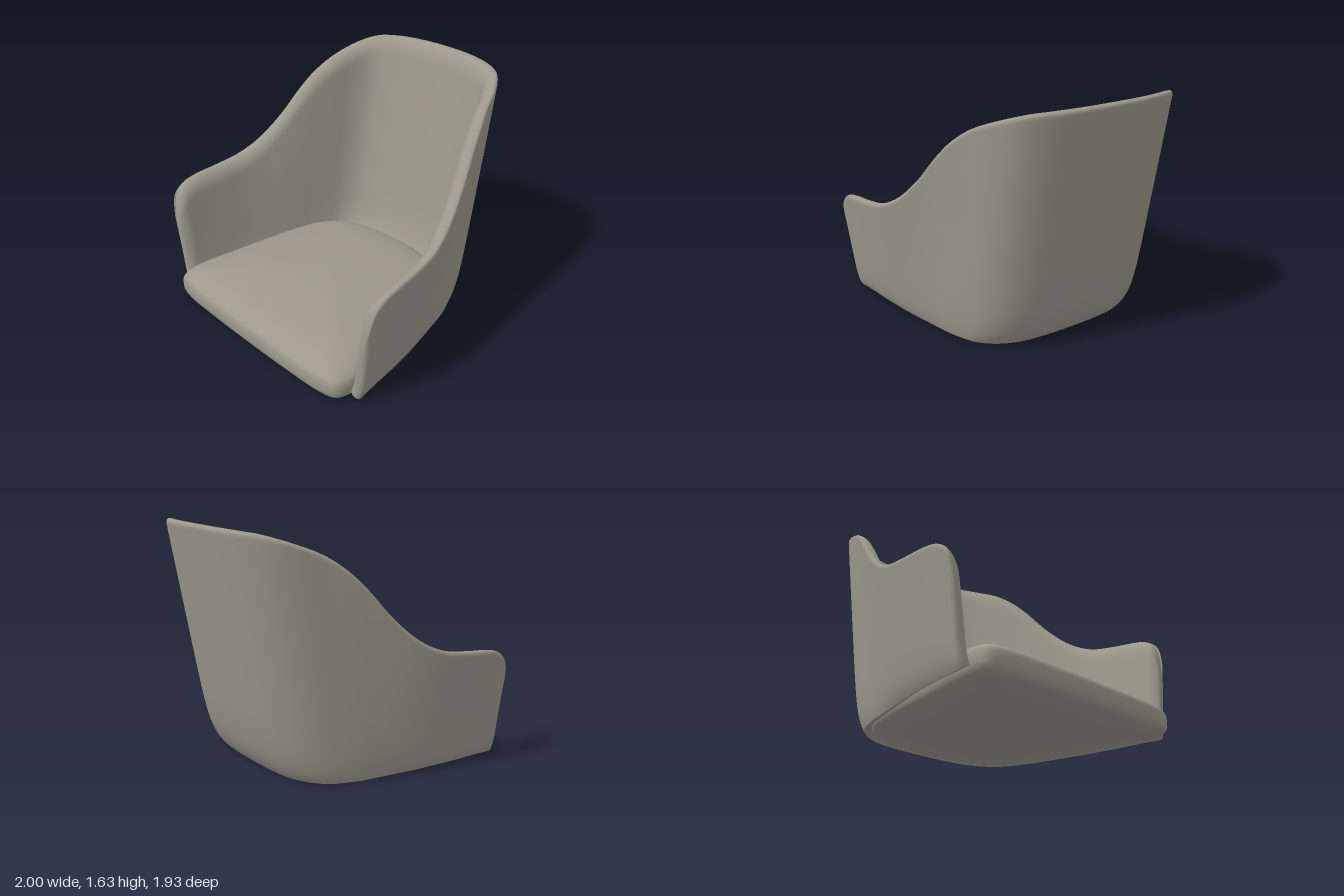
import * as THREE from 'three';
import { mergeVertices } from 'three/addons/utils/BufferGeometryUtils.js';

const V = (x, y, z) => new THREE.Vector3(x, y, z);

// Half of the shell from centre back to arm front: rim x, y, z, then base x, z
const STATIONS = [
  [0, 1.63, -0.972, 0, -0.585], [0.21, 1.628, -0.962, 0.2, -0.58],
  [0.41, 1.622, -0.92, 0.39, -0.555], [0.555, 1.607, -0.845, 0.53, -0.49],
  [0.65, 1.565, -0.715, 0.625, -0.4], [0.72, 1.49, -0.54, 0.68, -0.29],
  [0.775, 1.39, -0.4, 0.715, -0.19], [0.815, 1.28, -0.29, 0.737, -0.1],
  [0.872, 1.08, -0.12, 0.768, 0.03], [0.925, 0.93, 0.05, 0.8, 0.17],
  [0.967, 0.845, 0.22, 0.825, 0.3], [0.992, 0.81, 0.42, 0.852, 0.47],
  [1.005, 0.79, 0.6, 0.872, 0.63], [1.005, 0.765, 0.7, 0.885, 0.72],
  [1.0, 0.7, 0.78, 0.895, 0.78], [0.985, 0.55, 0.815, 0.9, 0.815],
];

// Half of the cushion outline from centre back to centre front: x, z
const CUSHION = [
  [0, -0.56], [0.3, -0.53], [0.5, -0.46], [0.64, -0.31], [0.71, -0.1], [0.745, 0.1],
  [0.79, 0.4], [0.835, 0.7], [0.838, 0.82], [0.8, 0.91], [0.69, 0.942], [0.35, 0.957], [0, 0.96],
];

// Full left-right curve through mirrored half points
function mirroredCurve(half, closed) {
  const right = half.slice(1, closed ? -1 : undefined).map(p => V(-p.x, p.y, p.z)).reverse();
  const pts = closed ? [...half, ...right] : [...right, ...half];
  return new THREE.CatmullRomCurve3(pts, closed, 'centripetal');
}

// Triangles of a grid of points; rows hold equal numbers of points
function addGrid(out, rows, flip) {
  for (let j = 0; j < rows.length - 1; j++) {
    for (let i = 0; i < rows[j].length - 1; i++) {
      const a = rows[j][i], b = rows[j][i + 1], c = rows[j + 1][i], d = rows[j + 1][i + 1];
      const tris = flip ? [a, b, c, b, d, c] : [a, c, b, b, c, d];
      for (const p of tris) out.push(p.x, p.y, p.z);
    }
  }
}

function smoothGeometry(positions) {
  let g = new THREE.BufferGeometry();
  g.setAttribute('position', new THREE.Float32BufferAttribute(positions, 3));
  g = mergeVertices(g, 1e-4);
  g.computeVertexNormals();
  return g;
}

// Wraparound back and arms: an outer and an inner skin meeting in a rounded rim
function shellGeometry() {
  const rim = mirroredCurve(STATIONS.map(s => V(s[0], s[1], s[2])), false);
  const base = mirroredCurve(STATIONS.map(s => V(s[3], 0.015, s[4])), false);
  const COLS = 140, ROWS = 44, T = 0.095, FRONT = 0.815;
  // Walls lean outwards evenly and tuck in near the floor
  const flare = t => 0.22 * (1 - Math.exp(-t / 0.07)) + 0.78 * t;
  const surface = (u, t) => {
    const a = base.getPoint(u), b = rim.getPoint(u), f = flare(t);
    return V(a.x + (b.x - a.x) * f, a.y + (b.y - a.y) * t, a.z + (b.z - a.z) * f);
  };
  // 0 on the rim or front edge, 1 beyond the fillet radii
  const fullness = (e1, r1, e2, r2) => {
    const a = Math.max(0, 1 - e1 / r1), b = Math.max(0, 1 - e2 / r2);
    return Math.sqrt(1 - Math.min(1, a * a + b * b));
  };
  const outer = [], inner = [], h = 0.002;
  for (let j = 0; j <= ROWS; j++) {
    const s = j / ROWS, t = s - 0.85 * Math.sin(2 * Math.PI * s) / (2 * Math.PI);
    const o = [], n = [];
    for (let i = 0; i <= COLS; i++) {
      const q = i / COLS * 2 - 1;
      const u = 0.5 + 0.5 * (0.75 * Math.sin(q * Math.PI / 2) + 0.25 * q);
      const p = surface(u, t);
      const u0 = Math.max(0, u - h), u1 = Math.min(1, u + h);
      const t0 = Math.max(0, t - h), t1 = Math.min(1, t + h);
      const du = surface(u1, t).sub(surface(u0, t));
      const dt = surface(u, t1).sub(surface(u, t0));
      const normal = dt.cross(du).normalize();
      const e1 = (1 - t) * rim.getPoint(u).y;
      const e2 = i === 0 || i === COLS ? 0 : Math.max(0, FRONT - p.z);
      const kOut = fullness(e1, 0.03, e2, 0.03), kIn = fullness(e1, 0.13, e2, 0.08);
      const edge = 0.2 + 0.25 * Math.max(0, 1 - e2 / 0.08) * Math.min(1, e1 / 0.3);
      o.push(p.clone().addScaledVector(normal, -T * edge * (1 - kOut)));
      n.push(p.clone().addScaledVector(normal, -T * (edge + (1 - edge) * kIn)));
    }
    outer.push(o);
    inner.push(n);
  }
  const out = [];
  addGrid(out, outer, false);
  addGrid(out, inner, true);
  addGrid(out, [outer[0], inner[0]], true); // bottom edge
  return smoothGeometry(out);
}

// Cushion skin: the outline scaled about its middle, one ring per [scale, y]
function cushionGeometry(rings) {
  const outline = mirroredCurve(CUSHION.map(p => V(p[0], 0, p[1])), true).getPoints(120);
  const cz = 0.2;
  const rows = rings.map(([s, y]) => outline.map(p => V(p.x * s, y, cz + (p.z - cz) * s)));
  const out = [];
  addGrid(out, rows, false);
  return smoothGeometry(out);
}

export function createModel() {
  const model = new THREE.Group();
  model.name = 'tubChairSeat';
  const fabric = new THREE.MeshStandardMaterial({ color: 0x9c998b });
  fabric.name = 'greyFabric';
  const add = (name, geometry) => {
    const mesh = new THREE.Mesh(geometry, fabric);
    mesh.name = name;
    model.add(mesh);
  };

  add('shell', shellGeometry());
  // Cushion sides and underside up to the seam
  add('cushionBase', cushionGeometry([
    [0, 0], [0.5, 0], [0.94, 0.003], [0.972, 0.01], [0.99, 0.028],
    [0.999, 0.055], [1, 0.09], [0.998, 0.12], [0.99, 0.142], [0.978, 0.153],
  ]));
  // Domed cushion top
  add('cushionTop', cushionGeometry([
    [0.978, 0.153], [0.965, 0.164], [0.94, 0.179], [0.9, 0.196], [0.83, 0.217],
    [0.7, 0.24], [0.5, 0.258], [0.25, 0.267], [0, 0.27],
  ]));
  return model;
}
